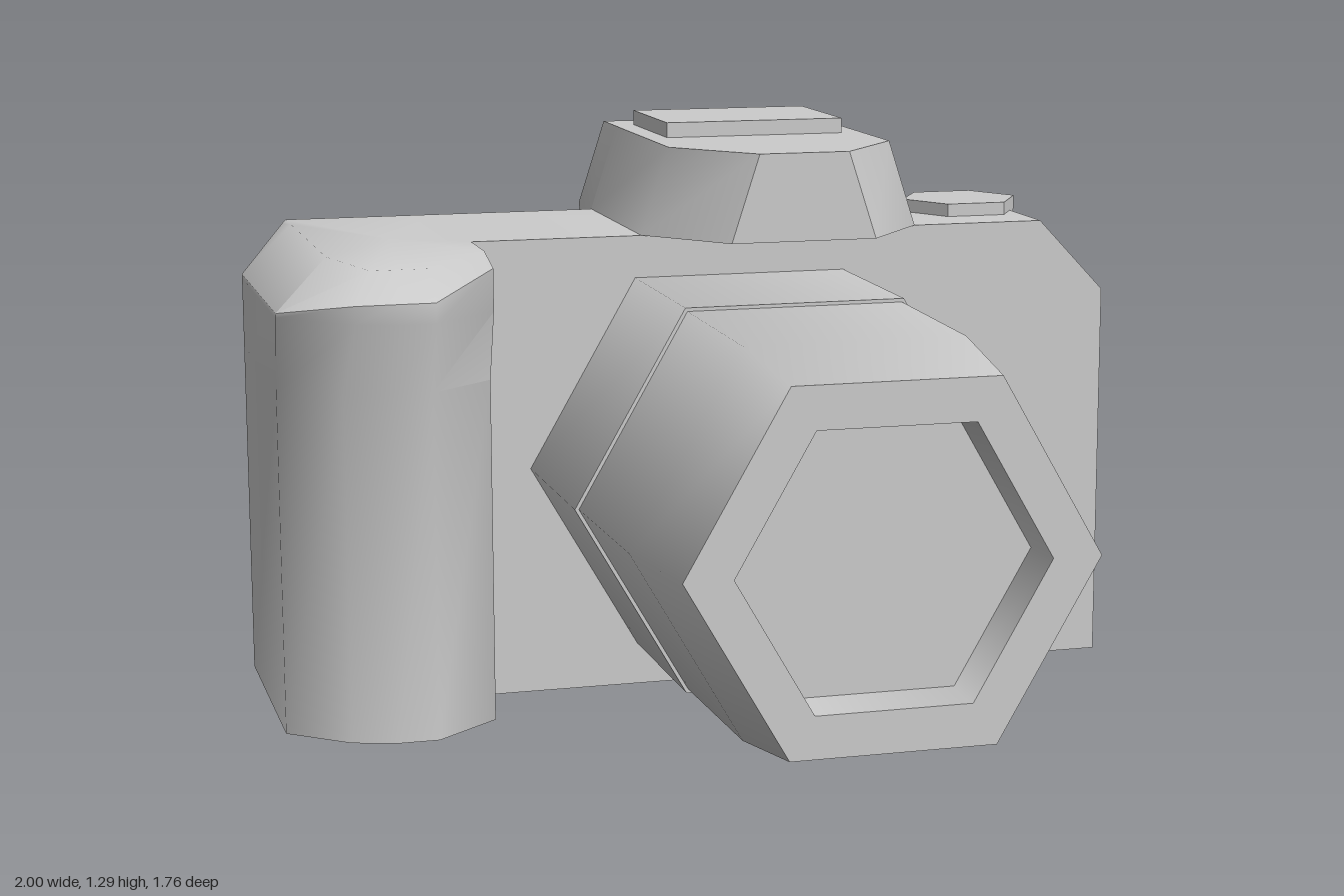
import * as THREE from 'three';
import { toCreasedNormals } from 'three/addons/utils/BufferGeometryUtils.js';

const material = new THREE.MeshStandardMaterial({ color: 0xcccccc });
const CREASE = 0.9;

// Skin a list of rings (each counter-clockwise seen from the end the loft runs towards), capped at both ends.
function loft(rings, capCentre) {
  const n = rings[0].length;
  const pos = rings.flat(2);
  const index = [];
  const centre = ring => [0, 1, 2].map(k => ring.reduce((s, p) => s + p[k], 0) / n);
  const last = (rings.length - 1) * n;
  const startC = rings.length * n;
  pos.push(...centre(rings[0]), ...(capCentre || centre(rings[rings.length - 1])));
  for (let i = 0; i < n; i++) {
    const j = (i + 1) % n;
    for (let r = 0; r < last; r += n) {
      index.push(r + i, r + j, r + n + j, r + i, r + n + j, r + n + i);
    }
    index.push(startC, j, i, startC + 1, last + i, last + j);
  }
  const g = new THREE.BufferGeometry();
  g.setAttribute('position', new THREE.Float32BufferAttribute(pos, 3));
  g.setIndex(index);
  return toCreasedNormals(g, CREASE);
}

export function createModel() {
  const model = new THREE.Group();
  model.name = 'camera';

  const add = (name, geometry, x = 0, y = 0, z = 0, parent = model) => {
    const mesh = new THREE.Mesh(geometry, material);
    mesh.name = name;
    mesh.position.set(x, y, z);
    parent.add(mesh);
    return mesh;
  };

  // Main body with one chamfered shoulder
  const profile = new THREE.Shape(
    [[-0.53, 0], [1, 0], [1, 0.89], [0.84, 1.06], [-0.53, 1.06]].map(p => new THREE.Vector2(...p)));
  add('body', toCreasedNormals(
    new THREE.ExtrudeGeometry(profile, { depth: 0.5, bevelEnabled: false }), CREASE), 0, 0, -0.75);

  // Hand grip: slim column, flaring to a lip near the top, with a sloping crown
  const slim = [[-0.53, -0.75], [-0.89, -0.75], [-1, -0.64], [-1, -0.07], [-0.87, 0.04],
    [-0.77, 0.07], [-0.68, 0.07], [-0.53, -0.05], [-0.53, -0.25]];
  const lip = [[-0.53, -0.75], [-0.89, -0.75], [-1, -0.64], [-1, -0.04], [-0.85, 0.1],
    [-0.76, 0.13], [-0.68, 0.13], [-0.53, 0], [-0.53, -0.25]];
  const crown = [[-0.53, -0.75], [-0.88, -0.75], [-0.88, -0.66], [-0.88, -0.1], [-0.8, 0],
    [-0.74, 0], [-0.67, 0], [-0.53, -0.1], [-0.53, -0.25]];
  const lipY = [1.06, 1.05, 0.95, 0.95, 0.98, 0.985, 0.985, 1.035, 1.06];
  const level = (ring, y) => ring.map(([x, z]) => [x, y, z]);
  add('grip', loft([
    level(slim, 0),
    level(slim, 0.78),
    lip.map(([x, z], i) => [x, Math.min(0.94, lipY[i]), z]),
    lip.map(([x, z], i) => [x, lipY[i], z]),
    crown.map(([x, z]) => [x, z > -0.05 ? 1.04 : 1.06, z]),
  ], [-0.7, 1.06, -0.35]));

  // Six-sided lens barrel
  const lens = new THREE.Group();
  lens.name = 'lens';
  lens.position.set(0.1, 0.53, 0);
  model.add(lens);
  const hexTube = (name, points) => add(name, new THREE.LatheGeometry(
    points.map(p => new THREE.Vector2(...p)), 6, Math.PI / 2).rotateX(Math.PI / 2), 0, 0, 0, lens);
  hexTube('lensMount', [[0.5, -0.26], [0.497, 0.19]]);
  hexTube('lensBarrel', [[0.488, 0.19], [0.48, 0.61], [0.44, 0.88]]);
  hexTube('lensRecess', [[0.335, 0.88], [0.325, 0.78]]);
  add('lensMountStep', new THREE.RingGeometry(0.488, 0.497, 6), 0, 0, 0.19, lens);
  add('lensRim', new THREE.RingGeometry(0.335, 0.44, 6), 0, 0, 0.88, lens);
  add('lensGlass', new THREE.CircleGeometry(0.325, 6), 0, 0, 0.78, lens);

  // Viewfinder hump with a tapered nose
  const cx = 0.195;
  const humpRing = (half, nose, y) => [
    [cx + half, y, -0.75], [cx - half, y, -0.75], [cx - half, y, -0.25],
    [cx - nose, y, -0.055], [cx + nose, y, -0.055], [cx + half, y, -0.25]];
  add('viewfinderHump', loft([humpRing(0.33, 0.17, 1.06), humpRing(0.265, 0.105, 1.26)]));

  // Eyepiece with a scooped back
  const eye = [[-0.265, 1.26], [0.265, 1.26], [0.33, 1.06], [0.295, 0.74], [-0.295, 0.74], [-0.33, 1.06]];
  const eyeRing = (scale, z) => eye.map(([x, y]) => [cx + x * scale, 1 + (y - 1) * scale, z]);
  add('eyepiece', loft([eyeRing(1, -0.75), eyeRing(1, -0.885), eyeRing(0.74, -0.81)]));

  // Accessory plate, shutter button and rear screen
  add('accessoryPlate', new THREE.BoxGeometry(0.43, 0.05, 0.325), 0.195, 1.27, -0.617);
  add('shutterButton', toCreasedNormals(
    new THREE.CylinderGeometry(0.143, 0.143, 0.07, 6, 1, false, Math.PI / 2), CREASE), 0.725, 1.055, -0.5);
  add('rearScreen', new THREE.BoxGeometry(1.12, 0.635, 0.1), -0.18, 0.4025, -0.77);

  return model;
}
